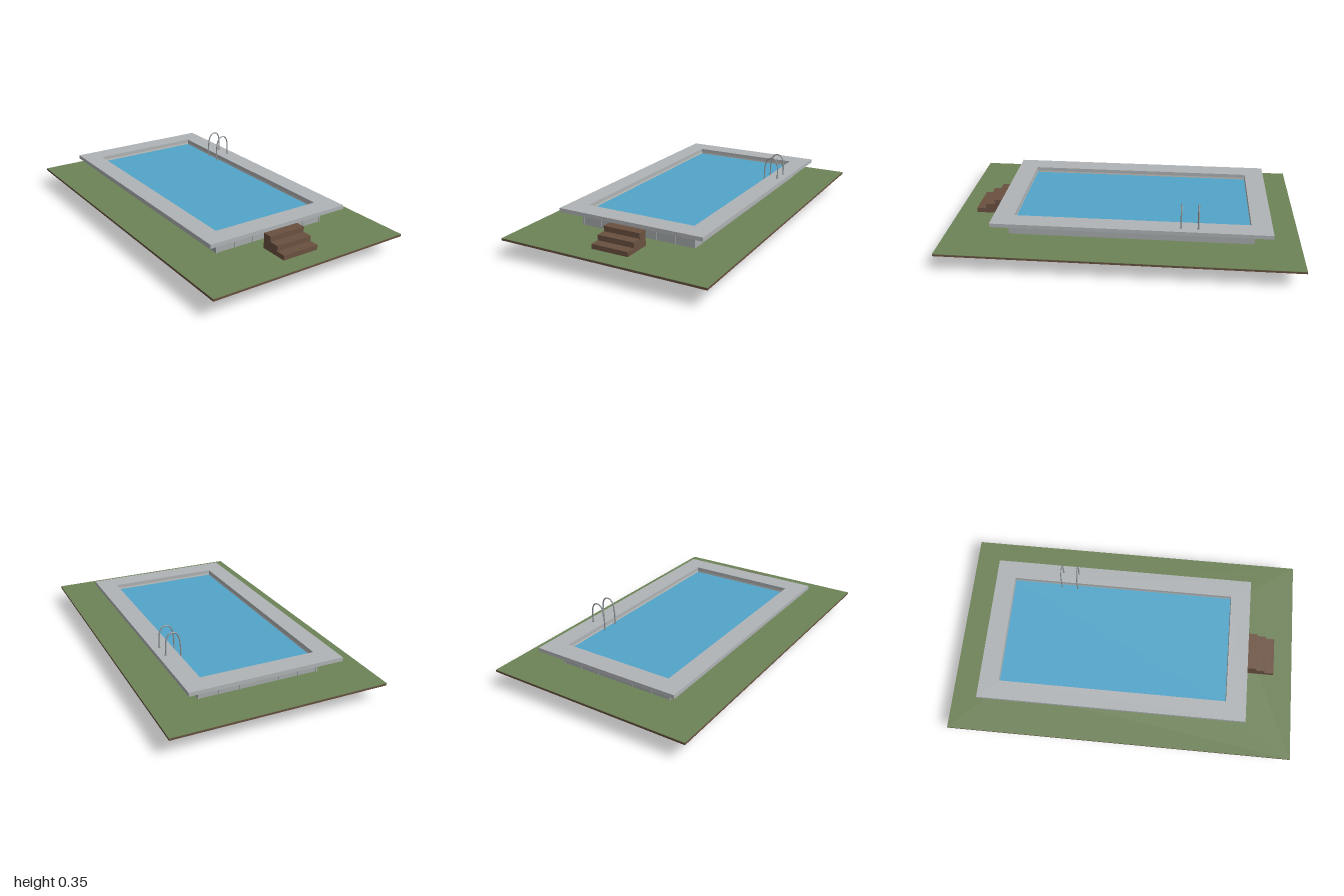
import * as THREE from 'three';

const mat = (name, color, extra = {}) => {
  const m = new THREE.MeshStandardMaterial({ color, ...extra });
  m.name = name;
  return m;
};

export function createModel() {
  const root = new THREE.Group();
  root.name = 'swimmingPool';
  const M = {
    grass: mat('grass green', 0x6e8358),
    earth: mat('earth brown', 0x69503f),
    wood: mat('step brown', 0x6b5140),
    coping: mat('coping grey', 0xb0b4b6),
    wall: mat('wall grey', 0xa6abab),
    liner: mat('liner pale grey', 0xcac5bf),
    water: mat('water blue', 0x52a5cb, { side: THREE.DoubleSide }),
    floor: mat('floor blue', 0x2f69a2, { side: THREE.DoubleSide }),
    steel: mat('steel grey', 0x92989b),
  };

  const add = (name, geo, material, x = 0, y = 0, z = 0, parent = root) => {
    const m = new THREE.Mesh(geo, material);
    m.name = name;
    m.position.set(x, y, z);
    parent.add(m);
    return m;
  };

  // Flat rectangular frame; rectangles are [half width, back z, front z]
  const trace = (path, [w, back, front]) => {
    path.moveTo(-w, -front);
    path.lineTo(w, -front);
    path.lineTo(w, -back);
    path.lineTo(-w, -back);
    path.closePath();
    return path;
  };
  const frame = (name, outer, inner, y0, y1, material) => {
    const shape = trace(new THREE.Shape(), outer);
    shape.holes.push(trace(new THREE.Path(), inner));
    const geo = new THREE.ExtrudeGeometry(shape, { depth: y1 - y0, bevelEnabled: false });
    geo.rotateX(-Math.PI / 2);
    return add(name, geo, material, 0, y0, 0);
  };

  const basin = [0.33, -0.72, 0.605];
  const pit = [0.345, -0.735, 0.62];
  const shell = [0.35, -0.74, 0.635];
  const plot = [0.61, -1, 1];

  // Ground, walls and coping
  frame('earthSlab', plot, pit, 0.1, 0.111, M.earth);
  frame('lawn', plot, pit, 0.111, 0.113, M.grass);
  frame('poolWall', shell, [0.336, -0.726, 0.611], 0.105, 0.2, M.wall);
  frame('poolLiner', [0.336, -0.726, 0.611], basin, 0.105, 0.2, M.liner);
  frame('coping', [0.44, -0.835, 0.722], basin, 0.2, 0.222, M.coping);

  // Water surface and sunken floor
  const midZ = (basin[1] + basin[2]) / 2;
  const sheet = new THREE.PlaneGeometry(0.66, 1.325).rotateX(-Math.PI / 2);
  add('water', sheet, M.water, 0, 0.19, midZ);
  add('poolFloor', sheet, M.floor, 0, 0, midZ);

  // Wall ribs on both short ends
  for (const x of [-0.345, -0.23, -0.115, 0.115, 0.23, 0.345]) {
    for (const z of [-0.741, 0.636]) {
      add('wallRib', new THREE.BoxGeometry(0.01, 0.088, 0.006), M.wall, x, 0.156, z);
    }
  }

  // Diagonal braces under the coping, leaning out along (dx, dz)
  const brace = (x, z, dx, dz) => {
    const g = new THREE.Group();
    g.name = 'copingBrace';
    g.position.set(x, 0, z);
    g.rotation.y = Math.atan2(dx, dz);
    const strut = add('strut', new THREE.BoxGeometry(0.006, 0.006, 0.062), M.steel, 0, 0.184, 0.025, g);
    strut.rotation.x = -0.61;
    add('bracePlate', new THREE.BoxGeometry(0.008, 0.033, 0.004), M.steel, 0, 0.183, 0.001, g);
    root.add(g);
  };
  for (let i = 0; i < 7; i++) {
    const z = 0.6 - i * 0.2175;
    brace(0.35, z, 1, 0);
    brace(-0.35, z, -1, 0);
  }
  for (const x of [-0.32, -0.107, 0.107, 0.32]) {
    brace(x, 0.635, 0, 1);
    brace(x, -0.74, 0, -1);
  }

  // Wooden steps
  const tops = [0.2, 0.17, 0.14];
  tops.forEach((top, i) => {
    add('step', new THREE.BoxGeometry(0.22, top - 0.112, 0.055), M.wood,
      0, (top + 0.112) / 2, 0.75 + i * 0.0555);
  });

  // Ladder: two arched rails and their rungs
  const ladder = new THREE.Group();
  ladder.name = 'ladder';
  root.add(ladder);
  const path = new THREE.CatmullRomCurve3([
    [0.326, 0.024], [0.316, 0.032], [0.311, 0.06], [0.311, 0.12], [0.312, 0.2], [0.314, 0.27],
    [0.322, 0.315], [0.338, 0.338], [0.358, 0.345], [0.378, 0.338], [0.392, 0.315],
    [0.397, 0.28], [0.397, 0.22],
  ].map(([x, y]) => new THREE.Vector3(x, y, 0)));
  const rail = new THREE.TubeGeometry(path, 64, 0.004, 8);
  for (const z of [-0.335, -0.43]) {
    add('ladderRail', rail, M.steel, 0, 0, z, ladder);
    add('railFoot', new THREE.CylinderGeometry(0.007, 0.007, 0.004, 12), M.steel, 0.397, 0.224, z, ladder);
    add('railTip', new THREE.SphereGeometry(0.004, 8, 6), M.steel, 0.326, 0.024, z, ladder);
  }
  for (const y of [0.08, 0.145]) {
    add('ladderRung', new THREE.BoxGeometry(0.02, 0.004, 0.095), M.steel, 0.309, y, -0.3825, ladder);
  }
  return root;
}
